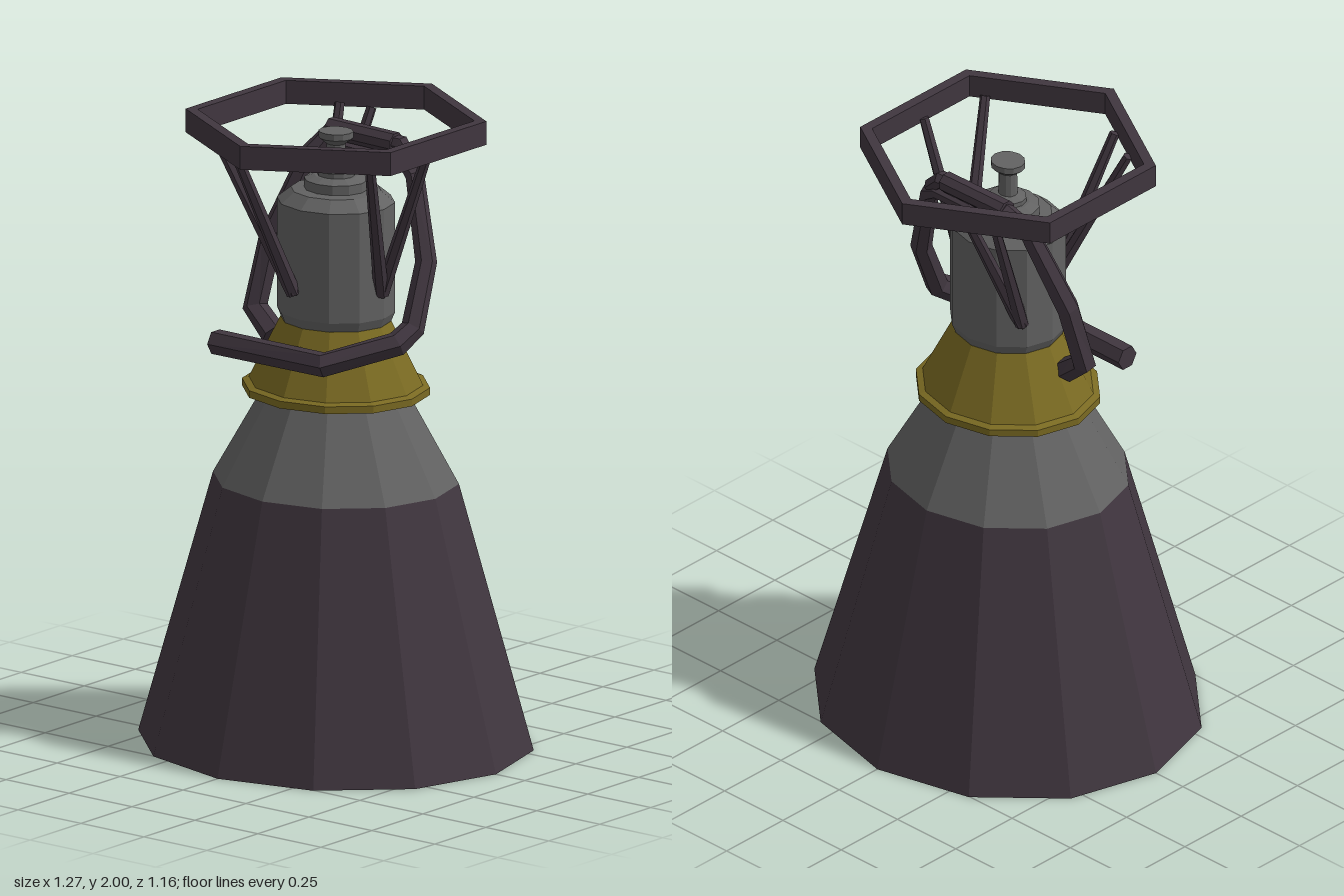
import * as THREE from 'three';

const mat = (name, color) => {
  const m = new THREE.MeshStandardMaterial({ color, flatShading: true });
  m.name = name;
  return m;
};

// Capped polygonal pipe through mitred points [x, y, z, radius]
function pipeGeometry(points, sides) {
  const P = points.map(p => new THREE.Vector3(p[0], p[1], p[2]));
  const pos = [], idx = [], last = P.length - 1;
  const dir = i => P[i + 1].clone().sub(P[i]).normalize();
  let n = new THREE.Vector3();
  P.forEach((p, i) => {
    const t = dir(Math.min(i, last - 1)).add(dir(Math.max(i - 1, 0))).normalize();
    if (i === 0) n.set(0, 1, 0).addScaledVector(t, -t.y).normalize();
    else n.addScaledVector(t, -n.dot(t)).normalize();
    const b = t.clone().cross(n);
    for (let k = 0; k < sides; k++) {
      const a = (k + 0.5) / sides * Math.PI * 2, r = points[i][3];
      const v = p.clone().addScaledVector(n, Math.cos(a) * r).addScaledVector(b, Math.sin(a) * r);
      pos.push(v.x, v.y, v.z);
    }
    if (i < last) for (let k = 0; k < sides; k++) {
      const a = i * sides + k, c = i * sides + (k + 1) % sides;
      idx.push(a, c, a + sides, c, c + sides, a + sides);
    }
  });
  const e = last * sides;
  for (let k = 1; k < sides - 1; k++) idx.push(0, k + 1, k, e, e + k, e + k + 1);
  const g = new THREE.BufferGeometry();
  g.setAttribute('position', new THREE.Float32BufferAttribute(pos, 3));
  g.setIndex(idx);
  g.computeVertexNormals();
  return g;
}

export function createModel() {
  const model = new THREE.Group();
  model.name = 'rocketEngine';
  const dark = mat('dark plum metal', 0x40363f);
  const grey = mat('grey metal', 0x626262);
  const gold = mat('dull gold', 0x7a6a22);

  const add = (name, geometry, material) => {
    const mesh = new THREE.Mesh(geometry, material);
    mesh.name = name;
    model.add(mesh);
    return mesh;
  };
  const lathe = (pts, sides = 12) =>
    new THREE.LatheGeometry(pts.map(p => new THREE.Vector2(p[0], p[1])), sides);
  // Turned body parts are slightly narrower from front to back
  const turned = (name, pts, material) => add(name, lathe(pts).scale(1, 1, 0.915), material);

  // Bell, neck, collar and chamber
  turned('nozzleBell', [[0, 0], [0.635, 0], [0.395, 0.84]], dark);
  turned('nozzleNeck', [[0.395, 0.84], [0.228, 1.13]], grey);
  turned('goldCollar', [[0.2, 1.12], [0.302, 1.12], [0.302, 1.143], [0.28, 1.15], [0.178, 1.35], [0.15, 1.35]], gold);
  turned('combustionChamber', [[0.165, 1.34], [0.175, 1.345], [0.19, 1.38], [0.19, 1.73],
    [0.145, 1.765], [0.103, 1.768], [0.103, 1.798], [0.07, 1.81], [0, 1.81]], grey);
  turned('topStem', [[0.06, 1.81], [0.06, 1.825], [0.032, 1.835], [0.03, 1.91],
    [0.056, 1.93], [0.056, 1.95], [0, 1.95]], grey);

  // Hexagonal mounting ring
  add('mountingRing', lathe([[0.47, 1.925], [0.47, 2], [0.432, 2], [0.432, 1.925], [0.47, 1.925]], 6), dark);

  // Three pairs of struts from chamber to ring
  [
    [[0.18, 1.46, 0], [0.37, 1.94, 0.01], [0.325, 1.94, 0.235]],
    [[-0.03, 1.46, 0.17], [-0.24, 1.94, 0.285], [-0.115, 1.94, 0.355]],
    [[-0.145, 1.46, -0.09], [-0.22, 1.94, -0.29], [-0.11, 1.94, -0.31]],
  ].forEach(([base, ...tops]) => tops.forEach(top =>
    add('strut', pipeGeometry([[...base, 0.024], [...top, 0.016]], 6), dark)));

  // Feed pipe: along the front, round the left side and up over the back
  add('feedPipe', pipeGeometry([
    [-0.305, 1.268, 0.215, 0.04], [0.125, 1.268, 0.215, 0.04], [0.29, 1.33, 0.06, 0.04],
    [0.305, 1.37, 0, 0.038], [0.285, 1.56, -0.09, 0.034], [0.2, 1.81, -0.14, 0.03],
    [0.15, 1.84, -0.155, 0.024], [-0.12, 1.845, -0.16, 0.022],
  ], 6), dark);

  // Return pipe: across the back and down the right side to the collar
  add('returnPipe', pipeGeometry([
    [0.19, 1.84, -0.145, 0.024], [0.13, 1.895, -0.16, 0.028], [-0.14, 1.9, -0.16, 0.028],
    [-0.195, 1.82, -0.11, 0.032], [-0.285, 1.55, -0.03, 0.038],
    [-0.305, 1.34, 0.02, 0.04], [-0.22, 1.27, 0.035, 0.04],
  ], 6), dark);
  add('crossPipeSleeve', pipeGeometry([[-0.15, 1.9, -0.16, 0.034], [0.11, 1.895, -0.16, 0.034]], 8), dark);

  return model;
}
